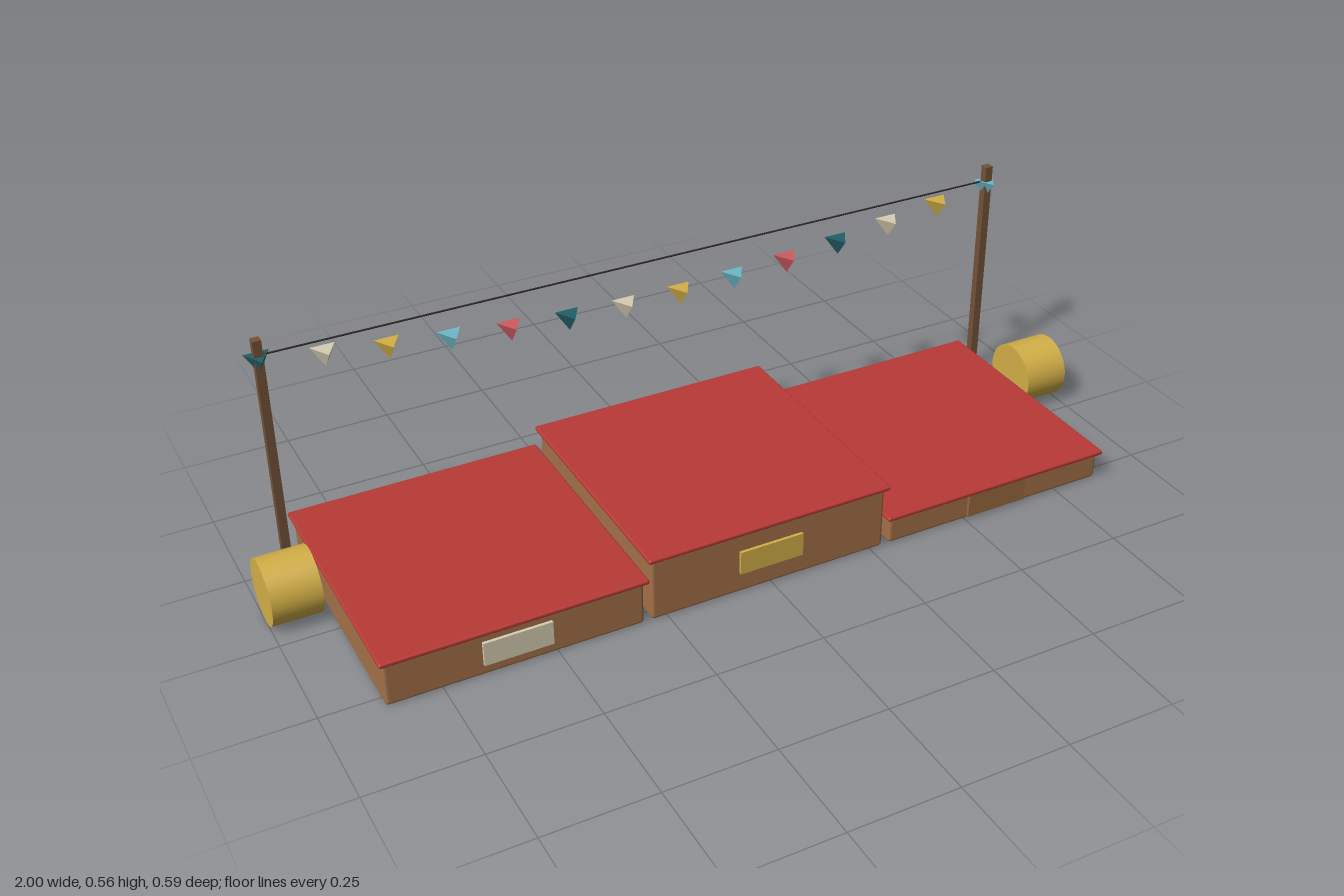
import * as THREE from 'three';
import { RoundedBoxGeometry } from 'three/addons/geometries/RoundedBoxGeometry.js';

function mat(name, color) {
  const m = new THREE.MeshStandardMaterial({ color });
  m.name = name;
  return m;
}

export function createModel() {
  const wood = mat('wood', 0xa47148);
  const carpet = mat('red carpet', 0xb83a36);
  const gold = mat('gold', 0xd4b048);
  const darkWood = mat('dark wood', 0x74523a);
  const bronze = mat('bronze', 0x9a6a3c);
  const cream = mat('cream', 0xd6cdb2);
  const teal = mat('teal', 0x235f69);
  const blue = mat('light blue', 0x6cb8c8);
  const coral = mat('coral', 0xcf5b5e);
  const cord = mat('cord', 0x2e2a28);
  // faceted pennants
  for (const m of [teal, blue, coral]) m.flatShading = true;

  const model = new THREE.Group();
  model.name = 'podium';
  const add = (name, geometry, material, x, y, z) => {
    const mesh = new THREE.Mesh(geometry, material);
    mesh.name = name;
    mesh.position.set(x, y, z);
    model.add(mesh);
    return mesh;
  };

  const midX = -0.003;

  // Three steps, each with a carpet slab and a front plaque
  const steps = [
    { name: 'second', x: midX - 0.584, top: 0.106, plaque: cream, py: 0.058 },
    { name: 'first', x: midX, top: 0.153, plaque: gold, py: 0.081 },
    { name: 'third', x: midX + 0.584, top: 0.067, plaque: bronze, py: 0.038 },
  ];
  for (const s of steps) {
    const h = s.top - 0.002;
    add(s.name + 'Step', new RoundedBoxGeometry(0.567, h, 0.566, 2, 0.008), wood, s.x, 0.002 + h / 2, -0.001);
    add(s.name + 'Carpet', new RoundedBoxGeometry(0.584, 0.0105, 0.587, 2, 0.004), carpet, s.x, s.top + 0.005, -0.001);
    add(s.name + 'Plaque', new THREE.BoxGeometry(0.152, 0.056, 0.007), s.plaque, s.x, s.py, 0.2855);
  }

  // Drums at both ends and the posts behind them
  for (const side of [-1, 1]) {
    const drum = add(side < 0 ? 'rightDrum' : 'leftDrum',
      new THREE.CylinderGeometry(0.0745, 0.0745, 0.11, 40), gold, side * 0.945, 0.0765, -0.095);
    drum.rotation.z = Math.PI / 2;
    add(side < 0 ? 'rightPost' : 'leftPost',
      new THREE.BoxGeometry(0.019, 0.565, 0.019), darkWood, midX + side * 0.897, 0.2845, -0.264);
  }

  // Cord between the posts
  const rope = add('cord', new THREE.CylinderGeometry(0.002, 0.002, 1.794, 6), cord, midX, 0.528, -0.266);
  rope.rotation.z = Math.PI / 2;

  // Sagging row of three-sided pennants, points down
  const colours = [teal, cream, gold, blue, coral];
  const pennant = new THREE.ConeGeometry(0.032, 0.043, 3).toNonIndexed();
  pennant.rotateZ(Math.PI);
  pennant.computeVertexNormals();
  const count = 14;
  for (let i = 0; i < count; i++) {
    const t = i / (count - 1);
    const y = 0.5075 - 0.085 * Math.sin(Math.PI * t);
    add('pennant' + (i + 1), pennant, colours[i % 5], midX + (t - 0.5) * 1.794, y, -0.264);
  }
  return model;
}
